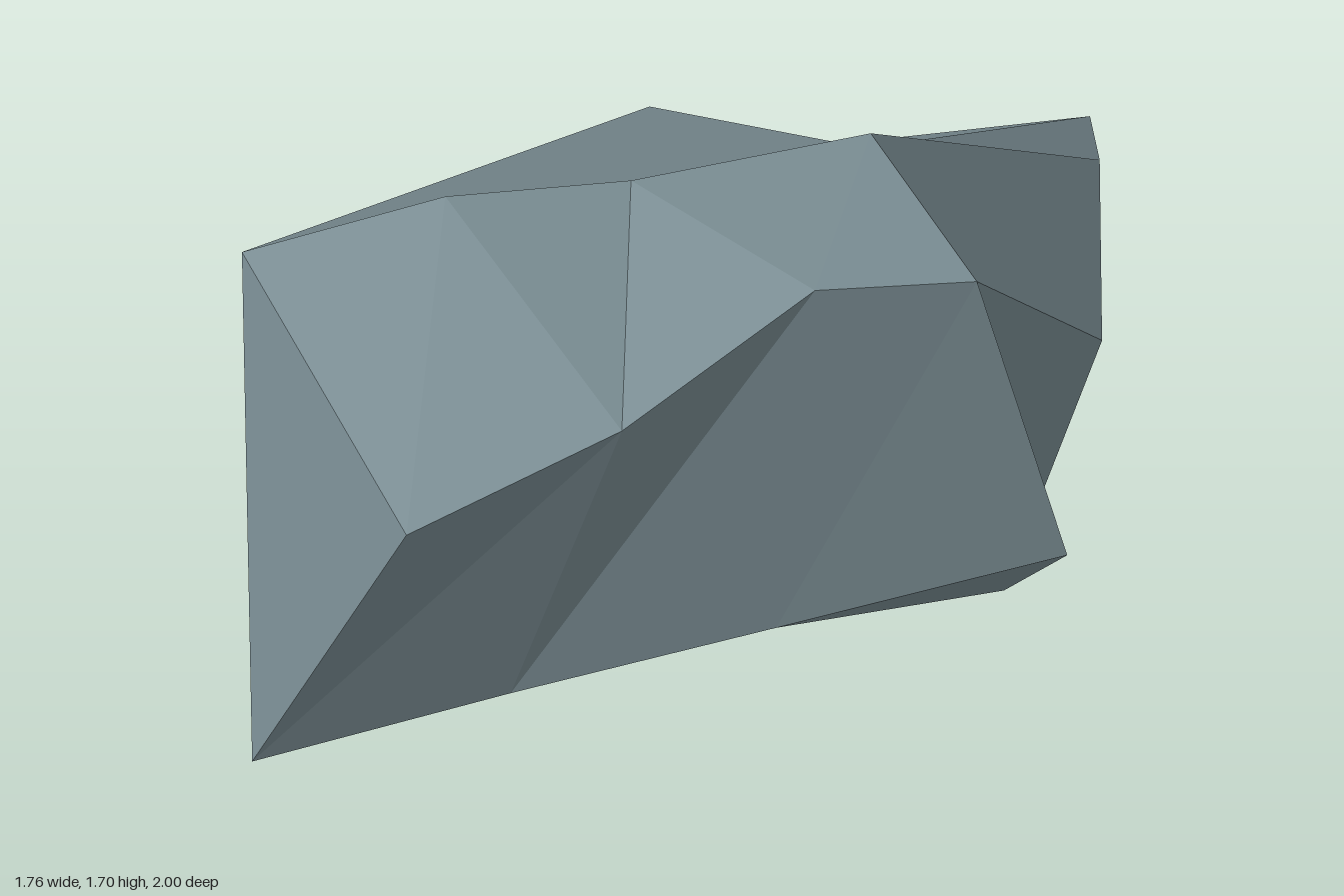
import * as THREE from 'three';

// Corners of the boulder, grouped by region
const corners = {
  // four ribs across the front: crown, brow and lower lip
  c0: [-0.84, 1.60, 0.41], b0: [-0.57, 1.42, 1.00], l0: [-0.88, 0.64, 0.67],
  c1: [-0.48, 1.70, 0.41], b1: [-0.20, 1.52, 0.87], l1: [-0.40, 0.75, 0.64],
  c2: [-0.15, 1.65, 0.31], b2: [0.14, 1.68, 0.71], l2: [0.09, 0.86, 0.62],
  c3: [0.29, 1.65, 0.19], b3: [0.42, 1.67, 0.69], l3: [0.62, 1.00, 0.62],
  // rear rim and side shoulder
  r0: [-0.04, 0.95, -1.00], r1: [0.36, 0.91, -0.89], r2: [0.87, 1.00, -0.82],
  r3: [0.88, 0.95, -0.73], shoulder: [0.80, 0.92, -0.14],
  // foot and undercut
  foot: [0.12, 0.00, -0.74], heel: [0.48, 0.15, -0.68], heelSide: [0.80, 0.26, -0.70],
  toe: [0.20, 0.24, -0.19], toeSide: [0.64, 0.25, -0.19], notch: [-0.45, 0.60, 0.29],
};

// Facets, corners counter-clockwise from outside
const facets = [
  // sloping top
  'c0 c1 c2', 'c0 c2 r1 r0', 'c2 r2 r1', 'c2 c3 r3 r2', 'c3 b3 shoulder r3',
  // +x side
  'b3 l3 toeSide shoulder', 'shoulder toeSide heelSide r3', 'r3 heelSide r2',
  // back
  'r2 heelSide heel', 'r2 heel r1', 'r1 heel foot r0',
  // -x side
  'r0 foot c0', 'foot notch c0', 'notch l0 c0', 'c0 l0 b0',
  // underside
  'l0 notch toe', 'notch foot toe', 'l0 toe l1', 'l1 toe l2', 'l2 toe toeSide',
  'l2 toeSide l3', 'toeSide toe heel', 'toe foot heel', 'toeSide heel heelSide',
];
// front panels between neighbouring ribs
for (let i = 0; i < 3; i++) {
  const j = i + 1;
  facets.push(`b${i} b${j} c${j} c${i}`, `l${i} l${j} b${j} b${i}`);
}

export function createModel() {
  const positions = [];
  for (const facet of facets) {
    const p = facet.split(' ').map((name) => corners[name]);
    for (let i = 1; i < p.length - 1; i++) positions.push(...p[0], ...p[i], ...p[i + 1]);
  }
  const geometry = new THREE.BufferGeometry();
  geometry.setAttribute('position', new THREE.Float32BufferAttribute(positions, 3));
  geometry.computeVertexNormals(); // unshared corners give flat facets

  const stone = new THREE.MeshStandardMaterial({ color: 0x7a8d93, flatShading: true });
  stone.name = 'blue grey stone';
  const boulder = new THREE.Mesh(geometry, stone);
  boulder.name = 'boulder';

  const group = new THREE.Group();
  group.name = 'rock';
  group.add(boulder);
  return group;
}
